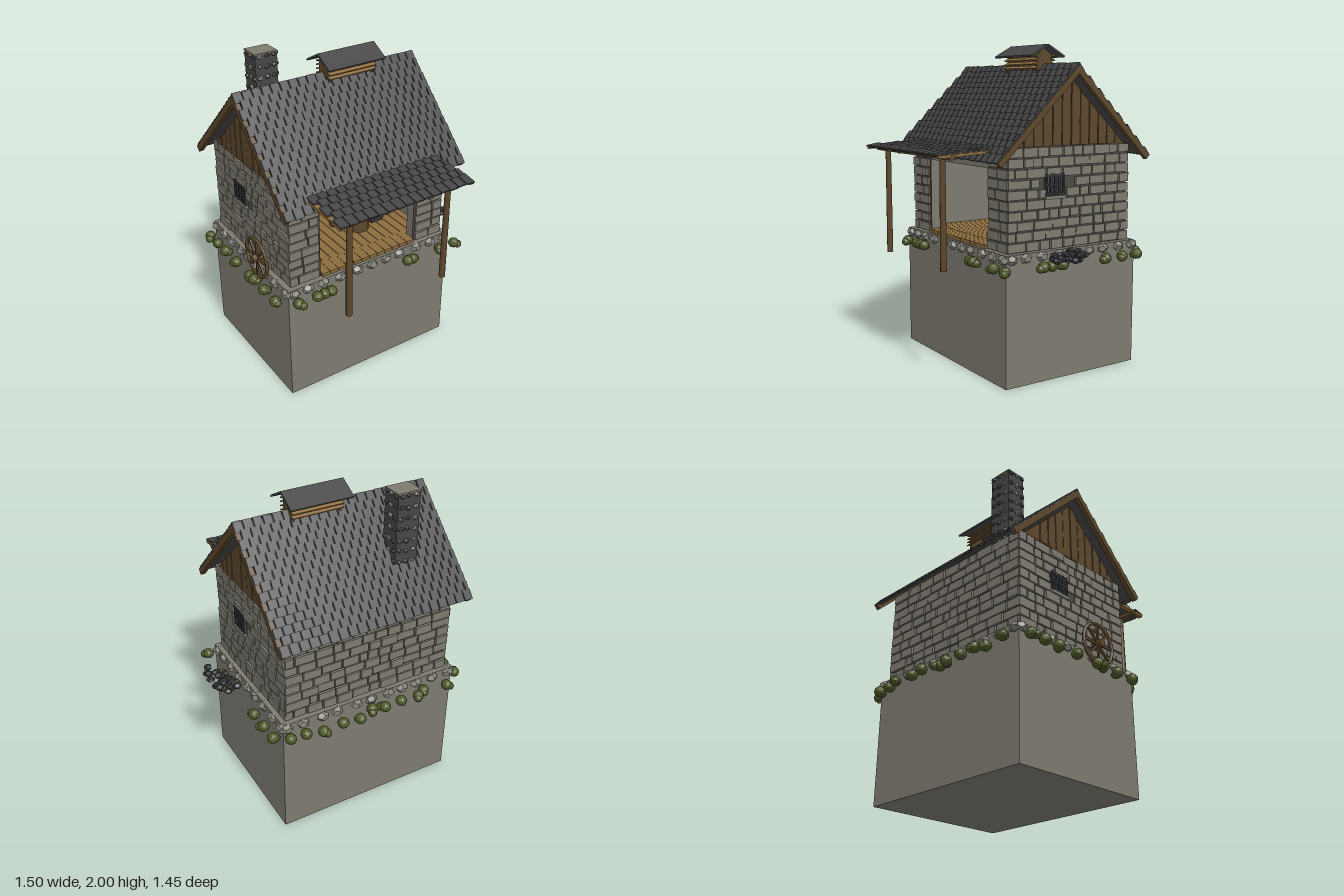
import * as THREE from 'three';
import { mergeGeometries } from 'three/addons/utils/BufferGeometryUtils.js';

const CX = -0.05, CZ = -0.12; // centre of the building in plan

export function createModel() {
  const model = new THREE.Group();
  const mat = (name, color) => Object.assign(new THREE.MeshStandardMaterial({ color }), { name });
  const stone = mat('stone', 0x7d7a70), mortar = mat('mortar', 0x4c4a44), slate = mat('slate', 0x464646);
  const darkWood = mat('dark wood', 0x5c472c), lightWood = mat('light wood', 0x8c6c3e), iron = mat('iron', 0x33353a);
  const moss = mat('moss', 0x4f5828), rock = mat('rock', 0x85827a), coal = mat('charcoal', 0x37383c);
  const shadowGap = mat('plank gap', 0x2e2418);

  let seed = 11;
  const rnd = (a = 0, b = 1) => {
    seed = (seed * 16807) % 2147483647;
    return a + (b - a) * (seed / 2147483647);
  };

  // helpers
  const box = (w, h, d, x, y, z) => new THREE.BoxGeometry(w, h, d).translate(x, y, z);
  const add = (name, material, geoms, parent = model) => {
    const list = [].concat(geoms).map(g => (g.index ? g.toNonIndexed() : g));
    const mesh = new THREE.Mesh(list.length > 1 ? mergeGeometries(list) : list[0], material);
    mesh.name = name;
    parent.add(mesh);
    return mesh;
  };
  const boulder = (x, y, z, rx, ry = rx, rz = rx, detail = 0) => {
    const g = detail ? new THREE.IcosahedronGeometry(1, 1) : new THREE.DodecahedronGeometry(1);
    g.rotateY(rnd(0, 6)).rotateX(rnd(0, 6)).scale(rx, ry, rz).translate(x, y, z);
    g.computeVertexNormals();
    return g;
  };

  // plinth
  add('plinth', stone, box(1.2, 0.79, 0.97, CX, 0.395, CZ));

  // wall cores: front wall has a wide doorway from x -0.40 to 0.30
  const HX = 0.555, HZ = 0.44, T = 0.06, Y0 = 0.79, Y1 = 1.4, WH = Y1 - Y0, WY = (Y0 + Y1) / 2;
  const frontZ = CZ + HZ - T / 2;
  add('wallCore', stone, [
    box(2 * HX, WH, T, CX, WY, CZ - HZ + T / 2),
    box(T, WH, 2 * HZ, CX - HX + T / 2, WY, CZ),
    box(T, WH, 2 * HZ, CX + HX - T / 2, WY, CZ),
    box(0.205, WH, T, -0.5025, WY, frontZ),
    box(0.205, WH, T, 0.4025, WY, frontZ),
    box(0.7, 0.13, T, CX, 1.335, frontZ)
  ]);
  const m = 0.004;
  add('mortarBed', mortar, [
    box(2 * HX, WH, m, CX, WY, CZ - HZ - m / 2),
    box(m, WH, 2 * HZ, CX - HX - m / 2, WY, CZ),
    box(m, WH, 2 * HZ, CX + HX + m / 2, WY, CZ),
    box(0.205, WH, m, -0.5025, WY, CZ + HZ + m / 2),
    box(0.205, WH, m, 0.4025, WY, CZ + HZ + m / 2)
  ]);

  // courses of wall blocks from u0 to u1 on one face
  const courses = (u0, u1, place, hole) => {
    const out = [], rows = 10, h = WH / rows;
    for (let r = 0; r < rows; r++) {
      const y = Y0 + (r + 0.5) * h;
      for (let u = u0; u < u1 - 0.001;) {
        let w = rnd(0.06, 0.14);
        if (u1 - u - w < 0.05) w = u1 - u;
        const c = u + w / 2, d = rnd(0.02, 0.03);
        if (!(hole && Math.abs(c - hole) < 0.05 + w / 3 && Math.abs(y - 1.175) < 0.06))
          out.push(place(c, y, w - rnd(0.005, 0.013), h - rnd(0.005, 0.013), d));
        u += w;
      }
    }
    return out;
  };
  const onZ = s => (c, y, w, h, d) => box(w, h, d, c, y, CZ + s * (HZ + d / 2 - 0.009));
  const onX = s => (c, y, w, h, d) => box(d, h, w, CX + s * (HX + d / 2 - 0.009), y, c);
  const ex = HX + 0.014, ez = HZ + 0.014;
  add('frontBlocks', stone, [...courses(CX - ex, -0.41, onZ(1)), ...courses(0.31, CX + ex, onZ(1))]);
  add('backBlocks', stone, courses(CX - ex, CX + ex, onZ(-1)));
  add('leftBlocks', stone, courses(CZ - ez, CZ + ez, onX(1), 0.001));
  add('rightBlocks', stone, courses(CZ - ez, CZ + ez, onX(-1), -0.24));

  // barred windows, one in each side wall
  for (const [s, z] of [[1, 0], [-1, -0.24]]) {
    const win = new THREE.Group();
    win.name = 'barredWindow';
    win.position.set(CX + s * (HX + 0.008), 1.175, z);
    add('windowPane', mortar, box(0.008, 0.13, 0.14, 0, 0, 0), win);
    const bars = [];
    for (let i = -2; i <= 2; i++) bars.push(box(0.014, 0.13, 0.012, s * 0.008, 0, i * 0.031));
    for (const y of [-0.055, 0, 0.055]) bars.push(box(0.012, 0.012, 0.14, s * 0.008, y, 0));
    add('windowBars', iron, bars, win);
    add('windowSill', stone, box(0.035, 0.02, 0.15, s * 0.005, -0.075, 0), win);
    model.add(win);
  }

  // boarded gables: vertical planks cut to the slope
  for (const s of [-1, 1]) {
    const x = CX + s * (HX - 0.005), half = 0.41, H = 0.385, n = 12, pw = 2 * half / n;
    const cut = u => H * (1 - Math.abs(u) / half);
    const panel = (a, b, t) => {
      const sh = new THREE.Shape();
      sh.moveTo(a, 0); sh.lineTo(b, 0); sh.lineTo(b, cut(b));
      if (a < 0 && b > 0) sh.lineTo(0, H);
      sh.lineTo(a, cut(a));
      return new THREE.ExtrudeGeometry(sh, { depth: t, bevelEnabled: false })
        .translate(0, 0, -t / 2).rotateY(Math.PI / 2).translate(x, Y1, CZ);
    };
    add('gableBacking', shadowGap, panel(-half + 0.002, half - 0.002, 0.02));
    const planks = [];
    for (let i = 0; i < n; i++) planks.push(panel(-half + i * pw + 0.003, -half + (i + 1) * pw - 0.003, rnd(0.028, 0.04)));
    add('gablePlanks', darkWood, planks);
  }

  // overlapping shingles; local +z runs down the slope
  const shingles = (width, length, rows, sw) => {
    const out = [], step = length / rows;
    for (let r = 0; r < rows; r++) {
      for (let x = -width / 2 + (r % 2 ? sw / 2 : 0); x < width / 2 - 0.01; x += sw) {
        const w = Math.min(sw, width / 2 - x), L = step * 1.25 + rnd(-0.008, 0.004);
        out.push(box(w - rnd(0.004, 0.01), 0.009, L, 0, 0, 0).rotateX(0.12)
          .translate(x + w / 2, 0.004, (r + 0.5) * step - 0.004));
      }
    }
    return out;
  };

  // main roof, two mirrored slopes
  const A = Math.atan2(0.545, 0.565), SL = 0.785;
  for (const turn of [0, Math.PI]) {
    const side = new THREE.Group(), slope = new THREE.Group();
    side.name = turn ? 'backRoof' : 'frontRoof';
    slope.name = 'roofSlope';
    side.position.set(CX, 1.868, CZ);
    side.rotation.y = turn;
    slope.rotation.x = A;
    add('roofDeck', slate, box(1.2, 0.014, SL - 0.02, 0, -0.01, SL / 2 - 0.01), slope);
    add('roofShingles', slate, shingles(1.28, SL, 15, 0.061), slope);
    add('bargeBoards', darkWood, [-1, 1].map(s => box(0.03, 0.036, SL, s * 0.624, -0.018, SL / 2)), slope);
    side.add(slope);
    model.add(side);
  }

  // ridge vent with louvres and its own little roof
  const VX = 0.085;
  const end = new THREE.Shape([[-0.055, 0], [0.055, 0], [0.055, 0.11], [0, 0.155], [-0.055, 0.11]].map(p => new THREE.Vector2(...p)));
  add('ventEnds', darkWood, [-0.16, 0.145].map(x => new THREE.ExtrudeGeometry(end, { depth: 0.015, bevelEnabled: false })
    .rotateY(Math.PI / 2).translate(VX + x, 1.825, CZ)));
  const slats = [];
  for (const s of [-1, 1]) for (let i = 0; i < 4; i++)
    slats.push(box(0.335, 0.008, 0.03, 0, 0, 0).rotateX(s * 0.5).translate(VX, 1.86 + i * 0.025, CZ + s * 0.062));
  add('ventLouvres', lightWood, slats);
  add('ventRoof', slate, [-1, 1].map(s => box(0.405, 0.012, 0.142, 0, 0, 0).rotateX(s * 0.5)
    .translate(VX, 1.961, CZ + s * 0.061)));

  // porch awning on two posts
  const awning = new THREE.Group();
  awning.name = 'awning';
  awning.position.set(CX, 1.388, 0.38);
  awning.rotation.x = 0.05;
  add('awningShingles', slate, shingles(0.94, 0.345, 5, 0.0625), awning);
  add('awningDeck', slate, box(0.88, 0.008, 0.335, 0, -0.008, 0.168), awning);
  add('awningRafters', lightWood, [-0.453, -0.15, 0.15, 0.453].map(x => box(0.03, 0.016, 0.34, x, -0.012, 0.17)), awning);
  model.add(awning);
  add('awningBeam', darkWood, box(0.94, 0.028, 0.035, CX, 1.354, 0.63));
  add('porchPosts', darkWood, [-0.4, 0.3].map(x => new THREE.CylinderGeometry(0.018, 0.02, 0.66, 8).translate(x, 1.02, 0.63)));

  // plank floor
  const floor = [];
  for (let i = 0; i < 17; i++) floor.push(box(0.056, 0.022, 0.85, -0.53 + i * 0.06, 0.799, CZ));
  for (let i = 0; i < 12; i++) floor.push(box(0.054, 0.024, 0.12, -0.37 + i * 0.058, 0.8, 0.285));
  add('floorPlanks', lightWood, floor);
  add('floorGaps', shadowGap, box(0.7, 0.01, 0.46, CX, 0.796, 0.1));

  // chimney studded with stones, above a stone hearth
  const KX = -0.345, KZ = -0.395;
  add('chimneyStack', slate, box(0.15, 1.02, 0.13, KX, 1.475, KZ));
  add('chimneyCap', stone, box(0.155, 0.008, 0.135, KX, 1.988, KZ));
  const studs = [];
  for (let y = 1.02; y < 1.98; y += 0.068) for (const s of [-1, 1]) for (const u of [-0.045, 0.005, 0.05]) {
    const v = y + rnd(-0.008, 0.008), r = rnd(0.014, 0.021);
    studs.push(boulder(KX + u, v, KZ + s * 0.066, r, r * 0.8, 0.014));
    studs.push(boulder(KX + s * 0.076, v, KZ + u, 0.014, r * 0.8, r));
  }
  add('chimneyStones', mortar, studs.filter((_, i) => i % 3));
  add('chimneyPaleStones', rock, studs.filter((_, i) => i % 3 === 0));
  add('hearth', stone, box(0.2, 0.18, 0.22, -0.33, 0.89, -0.385));
  const hearthStones = [];
  for (const y of [0.85, 0.92]) for (let i = 0; i < 4; i++) {
    hearthStones.push(boulder(-0.41 + i * 0.055, y, -0.275, 0.035, 0.038, 0.025));
    hearthStones.push(boulder(-0.228, y, -0.46 + i * 0.052, 0.025, 0.038, 0.033));
  }
  add('hearthStones', rock, hearthStones);
  add('hearthCoals', coal, [0, 1, 2, 3].map(i => boulder(-0.4 + i * 0.045, 0.98, -0.3, 0.025, 0.015, 0.025)));

  // anvil, hammer and tool box
  const SX = 0.085, SZ = 0.02;
  add('stump', darkWood, new THREE.CylinderGeometry(0.068, 0.072, 0.15, 12).translate(SX, 0.88, SZ));
  add('anvil', iron, [
    box(0.085, 0.014, 0.06, SX, 0.962, SZ),
    box(0.05, 0.04, 0.04, SX, 0.985, SZ),
    box(0.12, 0.02, 0.05, SX, 1.013, SZ),
    new THREE.ConeGeometry(0.012, 0.055, 8).rotateZ(-Math.PI / 2).translate(SX + 0.085, 1.013, SZ),
    box(0.035, 0.02, 0.022, SX - 0.02, 1.034, SZ)
  ]);
  add('hammerHandle', darkWood, box(0.09, 0.008, 0.008, SX + 0.01, 1.036, SZ));
  add('toolBox', iron, [box(0.1, 0.012, 0.07, 0.23, 0.838, 0), box(0.09, 0.025, 0.06, 0.23, 0.822, 0)]);

  // spoked wheel leaning by the right wall
  const wheel = new THREE.Group();
  wheel.name = 'wheel';
  wheel.position.set(-0.672, 0.86, 0.03);
  wheel.rotation.y = Math.PI / 2;
  add('wheelRim', darkWood, new THREE.TorusGeometry(0.128, 0.011, 6, 24), wheel);
  const spokes = [new THREE.CylinderGeometry(0.024, 0.024, 0.07, 10).rotateX(Math.PI / 2)];
  for (let i = 0; i < 4; i++) spokes.push(box(0.014, 0.25, 0.012, 0, 0, 0).rotateZ(i * Math.PI / 4));
  add('wheelSpokes', darkWood, spokes, wheel);
  model.add(wheel);

  // rocks set along the top rim of the plinth
  const rim = [];
  for (const s of [-1, 1]) {
    for (let i = 0; i < 11; i++) rim.push(boulder(CX - 0.57 + i * 0.114 + rnd(-0.015, 0.015), 0.762, CZ + s * 0.48, 0.042, 0.032, 0.035));
    for (let i = 0; i < 9; i++) rim.push(boulder(CX + s * 0.595, 0.762, CZ - 0.45 + i * 0.112 + rnd(-0.015, 0.015), 0.035, 0.032, 0.042));
  }
  add('rimRocks', rock, rim);

  // mossy shrubs around the foot of the walls
  const spots = [];
  for (const x of [-0.6, -0.47, -0.42, -0.37, 0.21, 0.25, 0.47, 0.59]) spots.push([x, 0.4]);
  for (const x of [-0.58, -0.42, -0.36, -0.24, -0.12, -0.04, 0.07, 0.18, 0.32, 0.42, 0.52]) spots.push([x, rnd(-0.69, -0.63)]);
  for (const z of [-0.57, -0.46, -0.35, -0.2, -0.02, 0.03, 0.16, 0.3]) spots.push([-0.705, z]);
  for (const z of [-0.58, -0.46, -0.33, 0.0, 0.08, 0.14]) spots.push([0.605, z]);
  add('shrubs', moss, spots.flatMap(([x, z]) => [
    boulder(x, 0.71, z, 0.036, 0.034, 0.036, 1),
    boulder(x + rnd(-0.022, 0.022), 0.703, z + rnd(-0.025, 0.025), 0.028, 0.026, 0.028, 1)
  ]));

  // heap of charcoal by the left wall
  const heap = [];
  for (let i = 0; i < 22; i++) heap.push(boulder(rnd(0.56, 0.72), rnd(0.74, 0.8), rnd(-0.13, 0.16), 0.028, 0.02, 0.026));
  add('charcoalHeap', coal, heap);

  return model;
}
